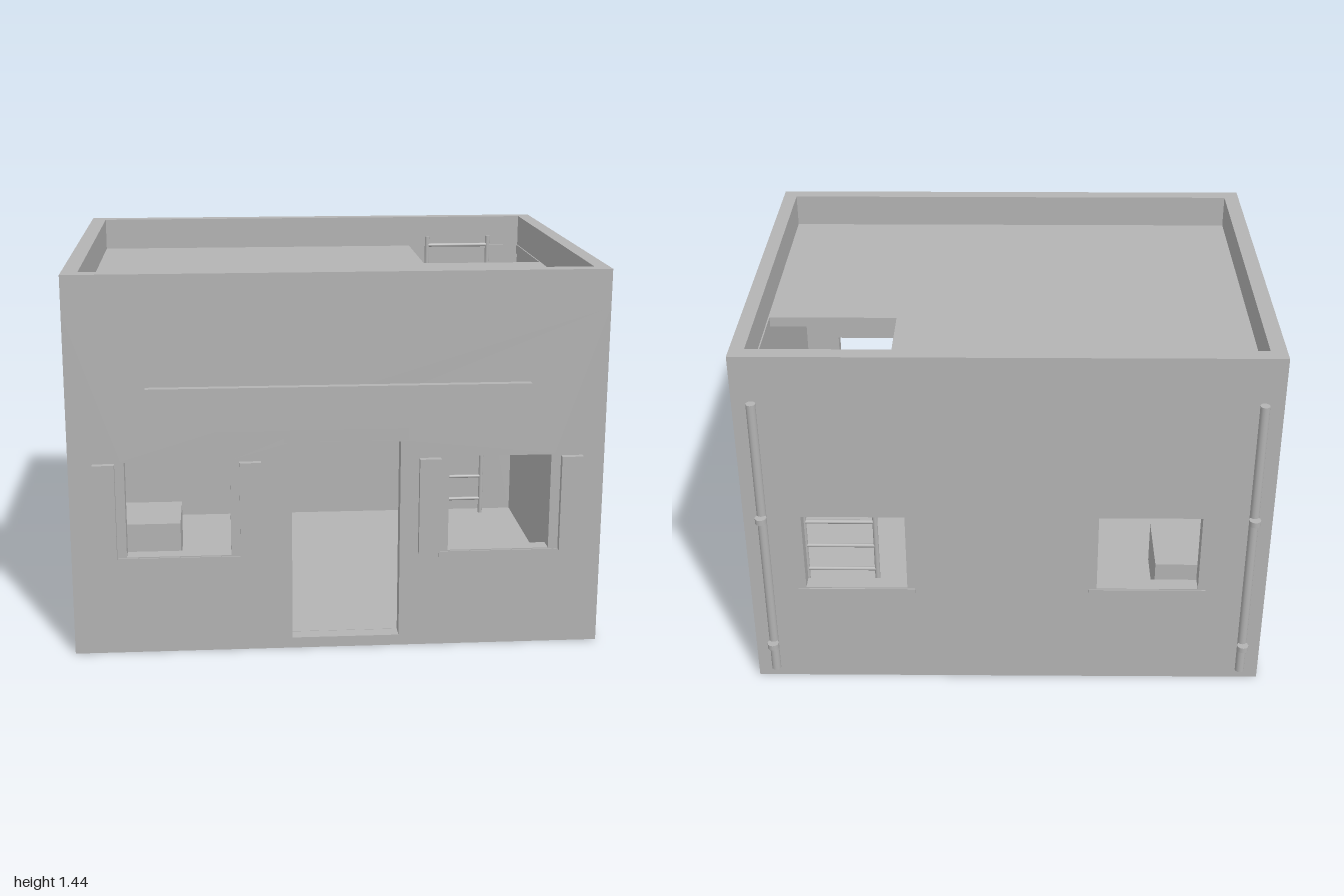
import * as THREE from 'three';

const material = new THREE.MeshStandardMaterial({ color: 0xb3b3b3, side: THREE.DoubleSide });
material.name = 'plainGrey';

// Outer and inner faces of the walls, and the storey heights
const X0 = -0.99, X1 = 0.995, Z0 = -0.76, Z1 = 0.79;
const IX0 = -0.93, IX1 = 0.94, IZ0 = -0.7, IZ1 = 0.73;
const FLOOR = 0.04, ROOF = 1.3, TOP = 1.44;

function rectangle(Type, [a0, a1, b0, b1]) {
  const s = new Type();
  s.moveTo(a0, b0);
  s.lineTo(a1, b0);
  s.lineTo(a1, b1);
  s.lineTo(a0, b1);
  s.closePath();
  return s;
}

function pierced(outline, holes) {
  const s = rectangle(THREE.Shape, outline);
  holes.forEach((h) => s.holes.push(rectangle(THREE.Path, h)));
  return s;
}

export function createModel() {
  const root = new THREE.Group();
  root.name = 'house';

  const add = (name, geometry, x = 0, y = 0, z = 0) => {
    const m = new THREE.Mesh(geometry, material);
    m.name = name;
    m.position.set(x, y, z);
    root.add(m);
    return m;
  };
  const box = (name, x0, x1, y0, y1, z0, z1) =>
    add(name, new THREE.BoxGeometry(x1 - x0, y1 - y0, z1 - z0), (x0 + x1) / 2, (y0 + y1) / 2, (z0 + z1) / 2);
  const rod = (name, r, length, x, y, z) =>
    add(name, new THREE.CylinderGeometry(r, r, length, 12), x, y, z);

  // Horizontal slab with rectangular holes, outline given in x and z
  const slab = (name, outline, holes, y0, y1) => {
    const flip = ([a, b, c, d]) => [a, b, -d, -c];
    const g = new THREE.ExtrudeGeometry(pierced(flip(outline), holes.map(flip)), { depth: y1 - y0, bevelEnabled: false });
    g.rotateX(-Math.PI / 2);
    return add(name, g, 0, y0, 0);
  };

  // Single wall skin across z or across x; side skins take z as their first axis
  const skinZ = (name, outline, holes, z, back) => {
    const mirror = ([a, b, c, d]) => (back ? [-b, -a, c, d] : [a, b, c, d]);
    const g = new THREE.ShapeGeometry(pierced(mirror(outline), holes.map(mirror)));
    if (back) g.rotateY(Math.PI);
    add(name, g, 0, 0, z);
  };
  const skinX = (name, outline, holes, x, left) => {
    const mirror = ([a, b, c, d]) => (left ? [-b, -a, c, d] : [a, b, c, d]);
    const g = new THREE.ShapeGeometry(pierced(mirror(outline), holes.map(mirror)));
    g.rotateY(left ? Math.PI / 2 : -Math.PI / 2);
    add(name, g, x, 0, 0);
  };

  // Base, roof with ladder hatch, parapet
  box('floorSlab', X0, X1, 0, FLOOR, Z0, Z1);
  slab('parapet', [X0, X1, Z0, Z1], [[IX0, IX1, IZ0, IZ1]], ROOF, TOP);
  slab('roof', [IX0, IX1, IZ0, IZ1], [[0.44, 0.935, -0.695, -0.19]], 1.27, 1.31);

  // Openings as horizontal and vertical ranges
  const frontWindows = [[-0.8, -0.385, 0.375, 0.75], [0.4, 0.81, 0.375, 0.75]];
  const door = [-0.175, 0.235, FLOOR + 0.001, 0.81];
  const backWindows = [[-0.74, -0.33, 0.43, 0.765], [0.38, 0.79, 0.43, 0.765]];
  const sideWindow = [-0.18, 0.3, 0.4, 0.79];

  // Hollow front and back walls, open at the corner slots
  skinZ('frontWall', [X0, X1, FLOOR, ROOF], [...frontWindows, door], Z1, false);
  skinZ('frontWallInside', [IX0, IX1, FLOOR, ROOF], [...frontWindows, door], IZ1, true);
  skinZ('backWall', [X0, X1, FLOOR, ROOF], backWindows, Z0, true);
  skinZ('backWallInside', [IX0, IX1, FLOOR, ROOF], backWindows, IZ0, false);

  // Side walls
  const side = [IZ0, IZ1, FLOOR, ROOF];
  skinX('leftWall', side, [], X1, true);
  skinX('leftWallInside', side, [], IX1, false);
  skinX('rightWall', side, [sideWindow], X0, false);
  skinX('rightWallInside', side, [sideWindow], IX0, true);

  // Linings of the openings
  const lining = (name, [a0, a1, y0, y1], d0, d1, t, alongZ) => {
    const bar = (p0, p1, q0, q1) =>
      alongZ ? box(name, d0, d1, q0, q1, p0, p1) : box(name, p0, p1, q0, q1, d0, d1);
    bar(a0, a0 + t, y0, y1);
    bar(a1 - t, a1, y0, y1);
    bar(a0 + t, a1 - t, y1 - 0.004, y1);
    if (y0 > 0.1) bar(a0 + t, a1 - t, y0, y0 + 0.004);
  };
  frontWindows.forEach((w) => lining('frontWindowFrame', w, IZ1, Z1, 0.014, false));
  backWindows.forEach((w) => lining('backWindowFrame', w, Z0, IZ0, 0.01, false));
  lining('sideWindowFrame', sideWindow, X0, IX0, 0.008, true);
  lining('doorFrame', door, IZ1, Z1, 0.003, false);

  // Sills, shutters, lintel and blank sign board
  for (const [a, b, y] of frontWindows) {
    box('frontSill', a - 0.02, b + 0.02, y - 0.028, y, Z1, Z1 + 0.005);
    box('shutter', a - 0.1, a - 0.02, 0.38, 0.745, 0.8, 0.825);
    box('shutter', b + 0.02, b + 0.1, 0.38, 0.745, 0.8, 0.825);
  }
  for (const [a, b, y] of backWindows) box('backSill', a - 0.02, b + 0.02, y - 0.025, y, Z0 - 0.005, Z0);
  box('lintel', -0.2, 0.26, 0.813, 0.865, Z1, Z1 + 0.005);
  box('signBoard', -0.7, 0.705, 0.868, 1.03, 0.805, 0.835);

  // Drainpipes with their brackets
  for (const x of [-0.915, 0.92]) {
    rod('drainpipe', 0.018, 1.205, x, 0.6625, -0.787);
    for (const y of [0.19, 0.78]) rod('pipeBracket', 0.022, 0.022, x, y, -0.811);
  }

  // Ladder up through the hatch
  for (const x of [0.515, 0.79]) rod('ladderRail', 0.01, 1.32, x, 0.7, -0.643);
  for (let y = 0.11; y < 1.34; y += 0.11) {
    rod('ladderRung', 0.008, 0.275, 0.6525, y, -0.643).rotation.z = Math.PI / 2;
  }

  // Low chest inside
  box('chest', -0.925, -0.61, FLOOR, 0.23, -0.32, -0.02);

  return root;
}
